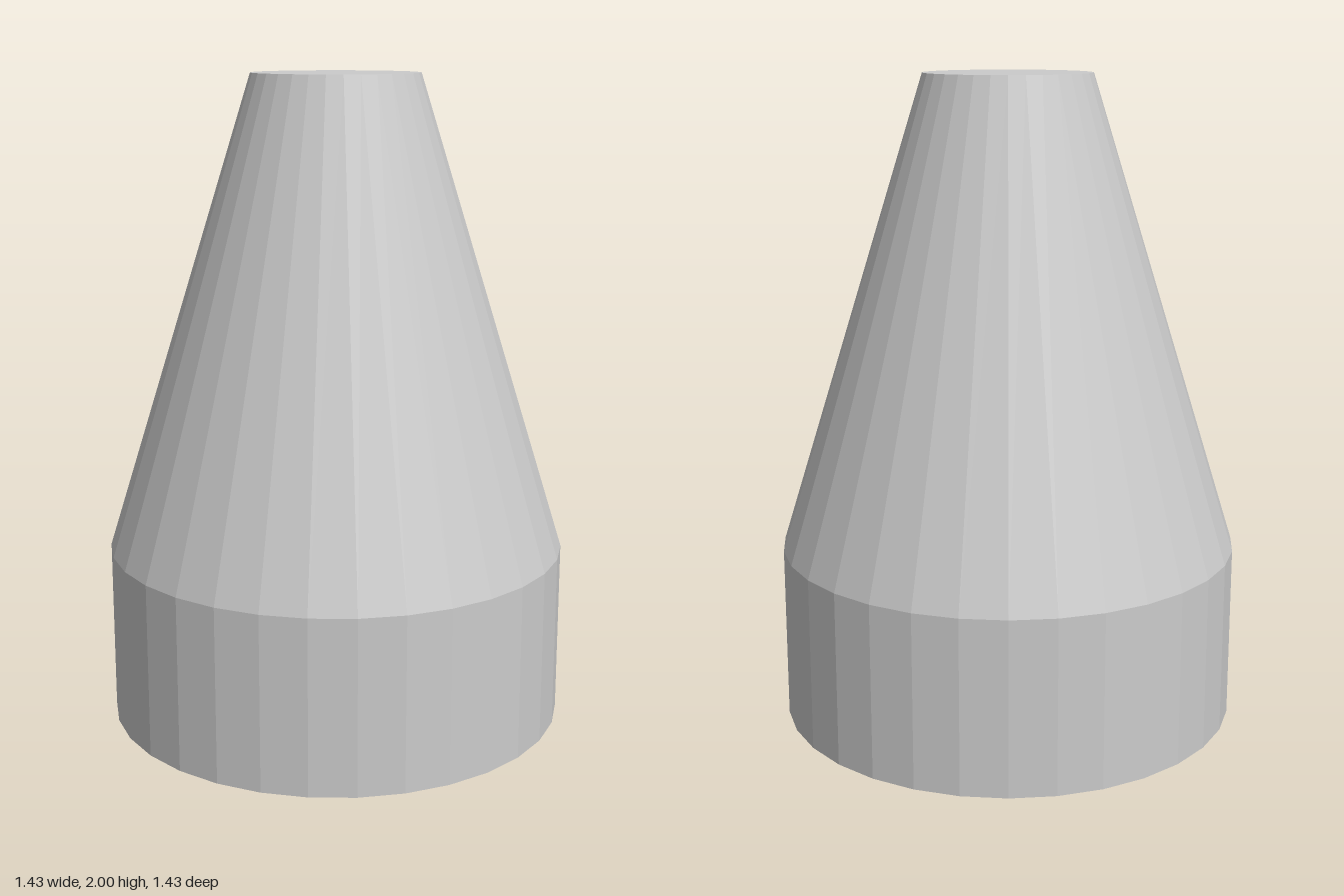
import * as THREE from 'three';

const SIDES = 32;
const BASE_RADIUS = 0.713;
const TIP_RADIUS = 0.257;
const BASE_HEIGHT = 0.54;
const HEIGHT = 2;

export function createModel() {
  const model = new THREE.Group();
  model.name = 'taperedCone';
  const material = new THREE.MeshStandardMaterial({ color: 0xcccccc, flatShading: true });

  const add = (name, geometry, y) => {
    const mesh = new THREE.Mesh(geometry, material);
    mesh.name = name;
    mesh.position.y = y;
    model.add(mesh);
  };

  // Open-ended faceted wall between two radii
  const wall = (top, bottom, height) =>
    new THREE.CylinderGeometry(top, bottom, height, SIDES, 1, true);

  // Flat disc whose corners line up with the walls
  const cap = (radius, tilt) => new THREE.CircleGeometry(radius, SIDES).rotateX(tilt);

  // Straight collar at the bottom
  add('baseCollar', wall(BASE_RADIUS, BASE_RADIUS, BASE_HEIGHT), BASE_HEIGHT / 2);

  // Tapered body above it
  add('taperedBody', wall(TIP_RADIUS, BASE_RADIUS, HEIGHT - BASE_HEIGHT), (HEIGHT + BASE_HEIGHT) / 2);

  // Flat ends
  add('topCap', cap(TIP_RADIUS, -Math.PI / 2), HEIGHT);
  add('bottomCap', cap(BASE_RADIUS, Math.PI / 2), 0);

  return model;
}
